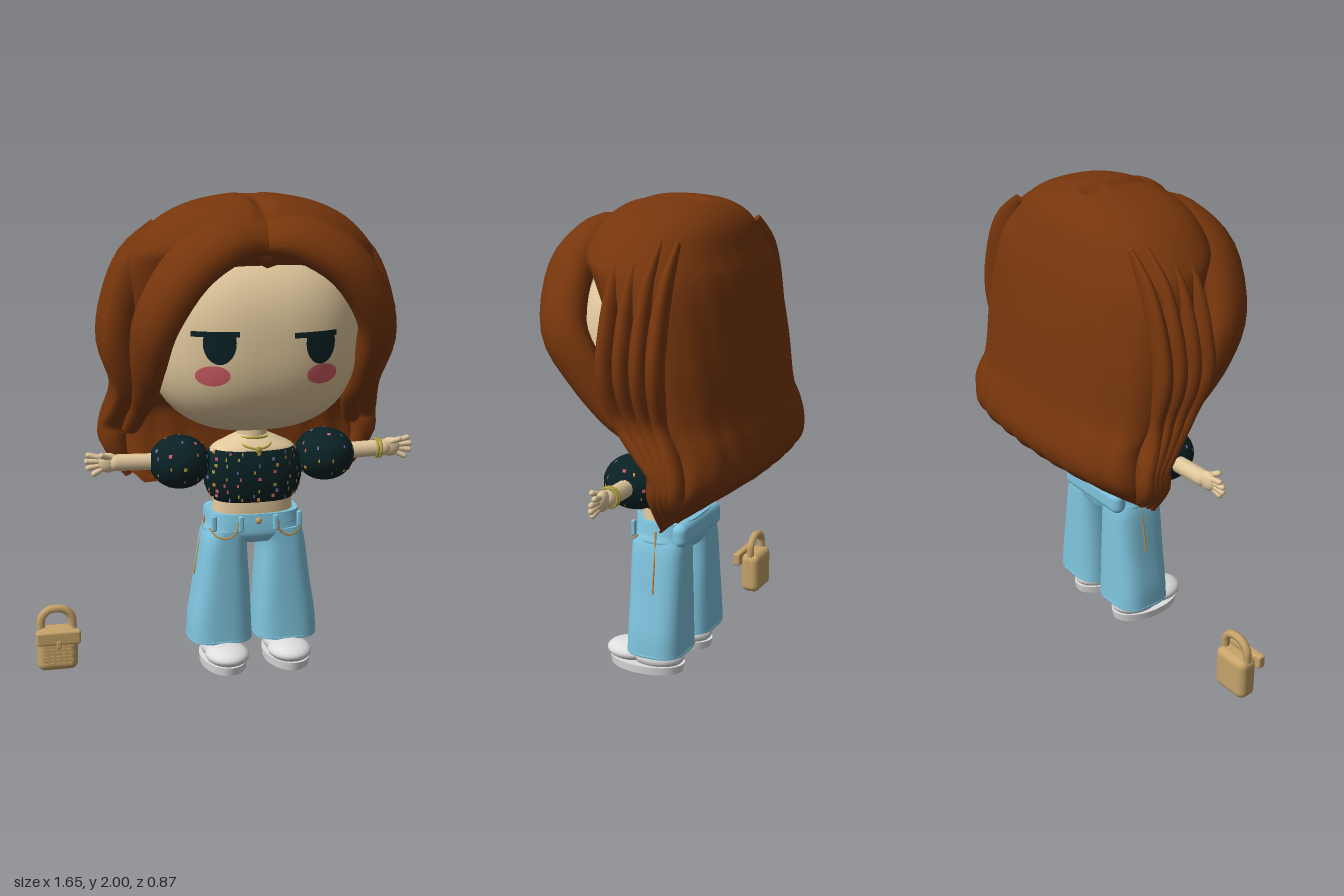
import * as THREE from 'three';
import { mergeGeometries } from 'three/addons/utils/BufferGeometryUtils.js';
import { RoundedBoxGeometry } from 'three/addons/geometries/RoundedBoxGeometry.js';

const mat = (name, color, side = THREE.FrontSide) => {
  const m = new THREE.MeshStandardMaterial({ color, side });
  m.name = name;
  return m;
};
const M = {
  skin: mat('skin', 0xe0c79c), hair: mat('hair brown', 0x77360c), dark: mat('dark teal', 0x0a2124, THREE.DoubleSide),
  pink: mat('blush pink', 0xcf5d65, THREE.DoubleSide), denim: mat('denim blue', 0x7fc5df), white: mat('shoe white', 0xdedede),
  tan: mat('bag tan', 0xc6a36a), gold: mat('gold', 0xb0a040, THREE.DoubleSide),
  orange: mat('stitch orange', 0xc98b3a, THREE.DoubleSide), lilac: mat('lilac', 0x6f74ad, THREE.DoubleSide),
};
const V = (x, y, z) => new THREE.Vector3(x, y, z);
const SIDES = [-1, 1];

function add(parent, name, geo, material, x = 0, y = 0, z = 0) {
  const m = new THREE.Mesh(geo, material);
  m.name = name;
  m.position.set(x, y, z);
  parent.add(m);
  return m;
}

// Smooth interpolation through rows of numbers, u in 0..1
function at(rows, u) {
  const f = u * (rows.length - 1), i = Math.min(Math.floor(f), rows.length - 2), t = f - i;
  const r = (k) => rows[Math.max(0, Math.min(rows.length - 1, k))];
  return rows[0].map((_, c) => {
    const a = r(i - 1)[c], b = r(i)[c], d = r(i + 1)[c], e = r(i + 2)[c];
    return b + 0.5 * t * (d - a + t * (2 * a - 5 * b + 4 * d - e + t * (3 * (b - d) + e - a)));
  });
}

// Closed skin over rings of points, with flat caps at both ends
function skinRings(rings) {
  const n = rings[0].length, pos = [], idx = [];
  rings.forEach((r) => r.forEach((p) => pos.push(p.x, p.y, p.z)));
  for (let i = 0; i < rings.length - 1; i++) for (let j = 0; j < n; j++) {
    const a = i * n + j, b = i * n + (j + 1) % n;
    idx.push(a, b, a + n, b, b + n, a + n);
  }
  [rings[0], rings[rings.length - 1]].forEach((r, end) => {
    const base = pos.length / 3, c = r.reduce((s, p) => s.add(p), V(0, 0, 0)).divideScalar(n);
    [...r, c].forEach((p) => pos.push(p.x, p.y, p.z));
    for (let j = 0; j < n; j++) {
      const a = base + j, b = base + (j + 1) % n;
      idx.push(base + n, ...(end ? [a, b] : [b, a]));
    }
  });
  const g = new THREE.BufferGeometry();
  g.setAttribute('position', new THREE.Float32BufferAttribute(pos, 3));
  g.setIndex(idx);
  g.computeVertexNormals();
  return g;
}

// Point on a rounded horizontal section; row = [y, centre x, half x, front z, back z]
function sectionPoint([y, cx, hx, zf, zb], t, p) {
  const c = Math.cos(t), s = Math.sin(t), pw = (v) => Math.sign(v) * Math.abs(v) ** (2 / p);
  return V(cx + hx * pw(c), y, (zf + zb) / 2 + (zf - zb) / 2 * pw(s));
}
function loft(rows, p = 2.4, steps = 20, n = 40, rule = (v) => v) {
  const rings = [];
  for (let i = 0; i <= steps; i++) {
    const row = at(rows, i / steps);
    rings.push(Array.from({ length: n }, (_, j) => rule(sectionPoint(row, j / n * Math.PI * 2, p), i / steps)));
  }
  return skinRings(rings);
}

// Hair lock; row = [x, y, z, half width, half thickness], turned to face out of the head
function lock(rows, s, steps = 28, n = 16) {
  const rings = [];
  for (let i = 0; i <= steps; i++) {
    const u = i / steps, [x, y, z, w, t] = at(rows, u);
    const a = at(rows, Math.max(0, u - 0.01)), b = at(rows, Math.min(1, u + 0.01));
    const T = V(s * (b[0] - a[0]), b[1] - a[1], b[2] - a[2]).normalize();
    const P = V(s * x, y, z), N = V(s * x, y - 1.4, z);
    N.addScaledVector(T, -N.dot(T)).normalize();
    const W = N.clone().cross(T);
    rings.push(Array.from({ length: n }, (_, j) => {
      const q = j / n * Math.PI * 2;
      return P.clone().addScaledVector(W, w * Math.cos(q)).addScaledVector(N, t * Math.sin(q));
    }));
  }
  return skinRings(rings);
}

const tube = (pts, r, closed = false) =>
  new THREE.TubeGeometry(new THREE.CatmullRomCurve3(pts.map((p) => V(...p)), closed), 32, r, 8, closed);

function limb(parent, name, material, a, b, r) {
  const d = b.clone().sub(a), m = add(parent, name, new THREE.CapsuleGeometry(r, d.length(), 6, 12), material);
  m.position.copy(a).addScaledVector(d, 0.5);
  m.quaternion.setFromUnitVectors(V(0, 1, 0), d.normalize());
}
function ball(parent, name, material, x, y, z, rx, ry, rz) {
  add(parent, name, new THREE.SphereGeometry(1, 32, 20), material, x, y, z).scale.set(rx, ry, rz);
}

// Head: a boxy ellipsoid, and its front depth for face details
const HEAD = { a: 0.44, b: 0.4, c: 0.36, y: 1.42, z: 0.01, p: 2.5 };
function headGeometry() {
  const g = new THREE.SphereGeometry(1, 48, 36), pos = g.attributes.position, v = V(0, 0, 0);
  for (let i = 0; i < pos.count; i++) {
    v.fromBufferAttribute(pos, i);
    const k = (Math.abs(v.x) ** HEAD.p + Math.abs(v.y) ** HEAD.p + Math.abs(v.z) ** HEAD.p) ** (-1 / HEAD.p);
    pos.setXYZ(i, v.x * k * HEAD.a, v.y * k * HEAD.b, v.z * k * HEAD.c);
  }
  g.computeVertexNormals();
  return g;
}
const headZ = (x, y) => HEAD.z + HEAD.c * Math.max(0, 1 - Math.abs(x / HEAD.a) ** HEAD.p
  - Math.abs((y - HEAD.y) / HEAD.b) ** HEAD.p) ** (1 / HEAD.p);
function facePlate(parent, name, geo, material, cx, cy, sx, sy, top = 1) {
  const pos = geo.attributes.position;
  for (let i = 0; i < pos.count; i++) {
    const x = cx + pos.getX(i) * sx, y = cy + Math.min(pos.getY(i), top) * sy;
    pos.setXYZ(i, x, y, headZ(x, y) + 0.007);
  }
  geo.computeVertexNormals();
  add(parent, name, geo, material);
}

function buildHead(g) {
  add(g, 'head', headGeometry(), M.skin, 0, HEAD.y, HEAD.z);
  const disc = () => new THREE.RingGeometry(0.001, 1, 32, 4);
  [[-0.207, -0.222, 0], [0.205, 0.185, -0.012]].forEach(([x, lashX, dy]) => {
    facePlate(g, 'eye', disc(), M.dark, x, 1.445 + dy, 0.064, 0.086, 0.35);
    facePlate(g, 'eyelid', new THREE.PlaneGeometry(1, 1, 12, 2), M.dark, lashX, 1.48 + dy, 0.185, 0.022);
    facePlate(g, 'cheek', disc(), M.pink, x + (x < 0 ? -0.025 : 0.01), 1.312 + dy * 0.6, 0.067, 0.042);
  });
}

function buildHair(g) {
  // Crown and long back curtain, rippled and ragged towards the hem
  const rows = [[2.0, 0.03, 0.05, -0.02], [1.99, 0.14, 0.14, -0.1], [1.96, 0.27, 0.22, -0.18], [1.9, 0.39, 0.28, -0.24],
    [1.8, 0.49, 0.31, -0.28], [1.72, 0.53, 0.26, -0.31], [1.6, 0.55, 0.2, -0.335], [1.4, 0.555, 0.12, -0.365],
    [1.2, 0.54, 0.02, -0.385], [1.1, 0.53, -0.1, -0.41], [1.0, 0.54, -0.12, -0.425], [0.92, 0.54, -0.12, -0.39],
    [0.84, 0.52, -0.12, -0.28], [0.78, 0.49, -0.12, -0.17]].map(([y, ...r]) => [y, 0, ...r]);
  add(g, 'backHair', loft(rows, 2.3, 56, 120, (v, u) => {
    const k = u * u;
    if (v.z < -0.13) v.z += 0.007 * k * Math.sin(v.x * 55 + Math.sin(v.x * 9));
    v.y += 0.022 * k ** 6 * Math.sin(v.x * 48);
    if (v.y > 1.75 && v.z > -0.1) v.y -= 0.025 * Math.exp(-((v.x / 0.03) ** 2));
    return v;
  }), M.hair);
  for (const s of SIDES) {
    // Swept fringe roll framing the face, fuller on the left
    const f = s > 0 ? 0.025 : 0;
    add(g, 'fringe', lock([[-0.01, 1.845, 0.265, 0.09, 0.055], [0.14, 1.84, 0.275 + f, 0.115, 0.08],
      [0.32, 1.735, 0.3 + f, 0.125, 0.085], [0.44 + f / 2, 1.53, 0.265 + f, 0.115, 0.08], [0.465, 1.36, 0.19, 0.1, 0.065],
      [0.46, 1.21, 0.08, 0.065, 0.05], [0.46, 1.12, -0.04, 0.05, 0.045], [0.49, 1.0, -0.14, 0.03, 0.04]], s), M.hair);
    // Layered side strands, gathering behind the shoulder
    for (let i = 0; i < 4; i++) {
      const z = 0.035 - 0.067 * i, low = -0.155 - 0.025 * i;
      add(g, 'sideStrand', lock([[0.37, 1.87, z, 0.01, 0.02], [0.475, 1.73, z, 0.028, 0.06], [0.548, 1.55, z, 0.036, 0.062],
        [0.568, 1.38, z, 0.036, 0.06], [0.52, 1.2, z * 0.8 - 0.035, 0.036, 0.055], [0.55, 1.04, low, 0.04, 0.06],
        [0.56, 0.94, low - 0.01, 0.04, 0.055], [0.5, 0.79 + 0.02 * i, low, 0.01, 0.015]], s), M.hair);
    }
  }
}

function buildBody(g) {
  add(g, 'neck', new THREE.CylinderGeometry(0.06, 0.07, 0.16, 24), M.skin, 0, 0.99, 0.04);
  add(g, 'shoulders', loft([[1.0, 0, 0.06, 0.1, -0.02], [0.975, 0, 0.12, 0.13, -0.04], [0.94, 0, 0.18, 0.155, -0.06], [0.88, 0, 0.185, 0.15, -0.05]]), M.skin);
  add(g, 'waist', loft([[0.78, 0, 0.165, 0.145, -0.055], [0.71, 0, 0.168, 0.148, -0.06], [0.64, 0, 0.178, 0.148, -0.07]]), M.skin);
  const top = [[0.945, 0, 0.175, 0.16, -0.065], [0.89, 0, 0.205, 0.175, -0.08], [0.82, 0, 0.21, 0.178, -0.08], [0.755, 0, 0.195, 0.165, -0.075], [0.722, 0, 0.17, 0.15, -0.062]];
  add(g, 'blouse', loft(top), M.dark);

  // Woven specks on blouse and sleeves, gathered by colour
  const threads = [M.pink, M.gold, M.lilac, M.orange], specks = threads.map(() => []);
  let count = 0;
  const speck = (p, n) => {
    const d = new THREE.Object3D(), k = count++;
    d.position.copy(p).addScaledVector(n, 0.004);
    d.lookAt(d.position.clone().add(n));
    d.updateMatrix();
    specks[(k * 7 + (k >> 2)) % 4].push(new THREE.PlaneGeometry(k % 3 ? 0.007 : 0.014, 0.014).applyMatrix4(d.matrix));
  };
  for (let r = 0; r < 9; r++) for (let j = 0; j < 20; j++) {
    if ((r * 5 + j * 3) % 4 === 0) continue;
    const t = (j + 0.2 * (r % 2)) / 20 * Math.PI * 2;
    speck(sectionPoint(at(top, 0.06 + r * 0.1), t, 2.4), V(Math.cos(t) * 0.6, 0, Math.sin(t)).normalize());
  }

  for (const s of SIDES) {
    ball(g, 'puffSleeve', M.dark, s * 0.315, 0.892, 0.05, 0.128, 0.112, 0.134);
    for (let r = 0; r < 5; r++) for (let j = 0; j < 12; j++) {
      if ((r + j * 2) % 3 === 0) continue;
      const a = (r - 2) * 0.45, t = j / 12 * Math.PI * 2;
      const n = V(Math.sin(a), Math.cos(a) * Math.cos(t), Math.cos(a) * Math.sin(t));
      speck(V(s * 0.315 + n.x * 0.128, 0.892 + n.y * 0.112, 0.05 + n.z * 0.134), n);
    }
    // Arm, palm and spread fingers
    limb(g, 'arm', M.skin, V(s * 0.38, 0.895, 0.04), V(s * 0.58, 0.9, 0.04), 0.036);
    ball(g, 'palm', M.skin, s * 0.615, 0.902, 0.04, 0.045, 0.042, 0.024);
    [[0.695, 0.936, 0.03], [0.703, 0.912, 0.04], [0.698, 0.885, 0.045], [0.675, 0.86, 0.05]].forEach(([x, y, z], i) =>
      limb(g, 'finger', M.skin, V(s * 0.63, 0.92 - i * 0.012, 0.04), V(s * x, y, z), 0.012));
    limb(g, 'thumb', M.skin, V(s * 0.6, 0.92, 0.045), V(s * 0.645, 0.94, 0.068), 0.012);
  }
  specks.forEach((list, i) => add(g, 'blouseSpecks', mergeGeometries(list), threads[i]));

  // Jewellery
  for (const x of [0.55, 0.565]) add(g, 'bracelet', new THREE.TorusGeometry(0.039, 0.006, 8, 24), M.gold, x, 0.9, 0.04).rotation.y = Math.PI / 2;
  add(g, 'choker', new THREE.TorusGeometry(0.07, 0.006, 8, 32), M.gold, 0, 0.985, 0.045).rotation.x = 1.45;
  add(g, 'necklace', tube([[-0.08, 0.985, 0.04], [-0.05, 0.965, 0.14], [0, 0.955, 0.157], [0.05, 0.965, 0.14], [0.08, 0.985, 0.04]], 0.005), M.gold);
  ball(g, 'pendant', M.gold, 0, 0.952, 0.16, 0.014, 0.016, 0.008);
}

function buildLegs(g) {
  add(g, 'hips', loft([[0.67, 0, 0.19, 0.15, -0.085], [0.62, 0, 0.2, 0.155, -0.09], [0.58, 0, 0.205, 0.155, -0.09], [0.545, 0, 0.1, 0.14, -0.08]], 3), M.denim);
  add(g, 'waistband', loft([[0.672, 0, 0.195, 0.157, -0.09], [0.63, 0, 0.203, 0.162, -0.095]], 3), M.denim);
  add(g, 'backRoll', new RoundedBoxGeometry(0.38, 0.105, 0.07, 5, 0.034), M.denim, 0, 0.622, -0.065);
  ball(g, 'button', M.tan, 0, 0.645, 0.163, 0.014, 0.014, 0.01);
  for (const s of SIDES) {
    add(g, 'trouserLeg', loft([[0.6, 0.1, 0.105, 0.155, -0.085], [0.54, 0.125, 0.098, 0.155, -0.09], [0.35, 0.134, 0.117, 0.155, -0.093],
      [0.2, 0.142, 0.133, 0.157, -0.095], [0.1, 0.143, 0.138, 0.16, -0.097]].map(([y, x, ...r]) => [y, s * x, ...r]), 3), M.denim);
    add(g, 'hem', tube(Array.from({ length: 20 }, (_, i) => sectionPoint([0.106, s * 0.143, 0.131, 0.153, -0.09], i / 20 * Math.PI * 2, 3).toArray()), 0.009, true), M.denim);
    for (const x of [0.075, 0.185])
      add(g, 'beltLoop', new RoundedBoxGeometry(0.022, 0.07, 0.018, 3, 0.007), M.denim, s * x, 0.635, x > 0.1 ? 0.135 : 0.165);
    add(g, 'pocketChain', tube([[s * 0.085, 0.645, 0.164], [s * 0.095, 0.595, 0.16], [s * 0.135, 0.572, 0.156], [s * 0.175, 0.582, 0.142], [s * 0.2, 0.61, 0.11]], 0.004), M.orange);
    add(g, 'sideStitch', tube([[s * 0.202, 0.64, 0.025], [s * 0.21, 0.58, 0.022], [s * 0.223, 0.53, 0.02], [s * 0.237, 0.45, 0.019], [s * 0.249, 0.38, 0.018]], 0.004), M.orange);
    // Shoe: flat sole, round toe and heel
    add(g, 'sole', new THREE.CylinderGeometry(1, 0.96, 0.036, 40), M.white, s * 0.14, 0.018, 0.1).scale.set(0.1, 1, 0.172);
    ball(g, 'shoeToe', M.white, s * 0.137, 0.064, 0.175, 0.093, 0.043, 0.11);
    ball(g, 'shoeHeel', M.white, s * 0.14, 0.06, 0.05, 0.088, 0.055, 0.12);
  }
}

function buildBag(g) {
  add(g, 'bagBody', new RoundedBoxGeometry(0.172, 0.19, 0.09, 5, 0.032), M.tan, 0, 0.097, 0.02);
  add(g, 'bagFlap', new RoundedBoxGeometry(0.188, 0.06, 0.035, 4, 0.01), M.tan, 0, 0.163, 0.082);
  add(g, 'bagHandle', tube([[-0.068, 0.18, 0.02], [-0.062, 0.235, 0.02], [-0.03, 0.266, 0.02], [0.03, 0.266, 0.02], [0.062, 0.235, 0.02], [0.068, 0.18, 0.02]], 0.018), M.tan);
  add(g, 'clasp', new RoundedBoxGeometry(0.02, 0.035, 0.012, 3, 0.005), M.tan, 0, 0.135, 0.098);
  // Basket weave on the front panel
  for (let r = 0; r < 6; r++) for (let c = 0; c < 5; c++)
    add(g, 'weave', new THREE.BoxGeometry(0.021, 0.009, 0.008), M.tan, (c - 2) * 0.024 + (r % 2 ? 0.006 : -0.006), 0.036 + r * 0.016, 0.064);
}

export function createModel() {
  const root = new THREE.Group();
  root.name = 'figureWithBag';
  const part = (name, x, build) => {
    const g = new THREE.Group();
    g.name = name;
    g.position.x = x;
    build(g);
    root.add(g);
  };
  part('headGroup', 0.11, buildHead);
  part('hairGroup', 0.11, buildHair);
  part('bodyGroup', 0.11, buildBody);
  part('legsGroup', 0.11, buildLegs);
  part('bag', -0.735, buildBag);
  return root;
}
